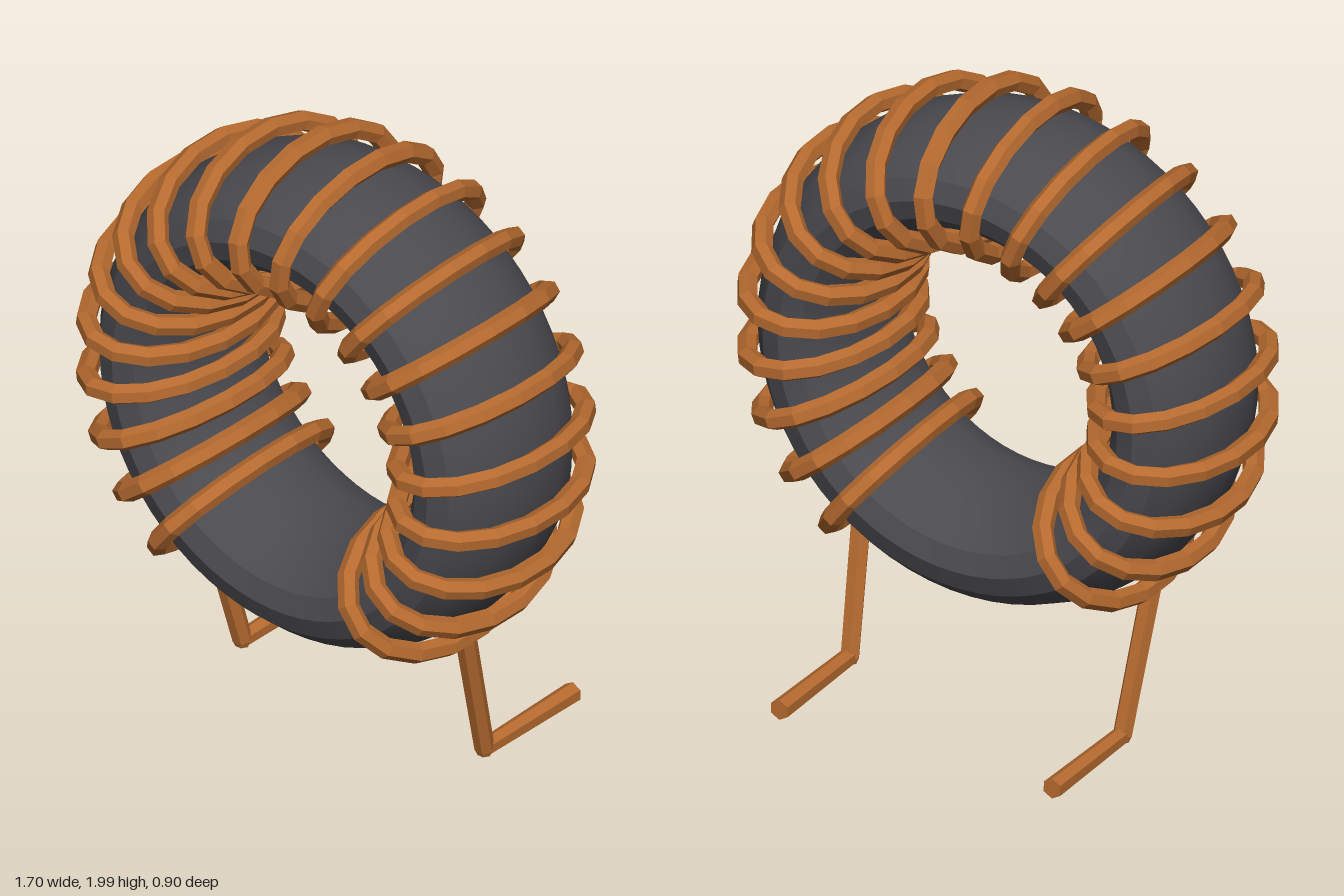
import * as THREE from 'three';
import { toCreasedNormals } from 'three/addons/utils/BufferGeometryUtils.js';

const CENTER_Y = 1.145, CENTER_Z = 0.075; // centre of the ring
const RING_R = 0.615;                     // radius to the middle of the section
const WIRE_R = 0.033;

// Elliptical turn of wire around the core section, sampled evenly by angle
class TurnCurve extends THREE.Curve {
  getPoint(t, target = new THREE.Vector3()) {
    const a = (t + 1 / 32) * Math.PI * 2;
    return target.set(RING_R - 0.004 + 0.218 * Math.cos(a), 0, 0.353 * Math.sin(a));
  }
  getPointAt(u, target) { return this.getPoint(u, target); }
  getTangentAt(u, target) { return this.getTangent(u, target); }
}

// Straight six-sided piece of wire between two points
function wirePiece(from, to, r0, r1, material) {
  const dir = to.clone().sub(from);
  const mesh = new THREE.Mesh(new THREE.CylinderGeometry(r1, r0, dir.length(), 6), material);
  mesh.position.copy(from).add(to).multiplyScalar(0.5);
  mesh.quaternion.setFromUnitVectors(new THREE.Vector3(0, 1, 0), dir.normalize());
  return mesh;
}

export function createModel() {
  const model = new THREE.Group();
  model.name = 'toroidalInductor';

  const ferrite = new THREE.MeshStandardMaterial({ color: 0x4a4a4f });
  ferrite.name = 'darkFerrite';
  const copper = new THREE.MeshStandardMaterial({ color: 0xb56a2f, flatShading: true });
  copper.name = 'copper';

  const ring = new THREE.Group();
  ring.name = 'woundRing';
  ring.position.set(0, CENTER_Y, CENTER_Z);
  model.add(ring);

  // Core: elliptical section swept around the z axis
  const profile = [];
  for (let i = 0; i <= 16; i++) {
    const a = -(i / 16) * Math.PI * 2;
    profile.push(new THREE.Vector2(RING_R + 0.175 * Math.cos(a), -0.305 * Math.sin(a)));
  }
  profile.reverse();
  // keep the section running counter-clockwise so the faces point outward
  if (THREE.ShapeUtils.area(profile) < 0) profile.reverse();
  const coreGeo = new THREE.LatheGeometry(profile, 64).rotateX(Math.PI / 2);
  const core = new THREE.Mesh(toCreasedNormals(coreGeo, THREE.MathUtils.degToRad(30)), ferrite);
  core.name = 'core';
  ring.add(core);

  // Winding: twenty turns, leaving a gap at the bottom
  const turnGeo = new THREE.TubeGeometry(new TurnCurve(), 16, WIRE_R, 6, true);
  const winding = new THREE.Group();
  winding.name = 'winding';
  for (let i = 0; i < 20; i++) {
    const turn = new THREE.Mesh(turnGeo, copper);
    turn.name = 'wireTurn';
    turn.rotation.z = THREE.MathUtils.degToRad(90 - 142.5 + i * 15);
    winding.add(turn);
  }
  ring.add(winding);

  // Leads: down from the last turns, then bent backward
  for (const side of [1, -1]) {
    const lead = new THREE.Group();
    lead.name = side > 0 ? 'leftLead' : 'rightLead';
    const top = new THREE.Vector3(side * 0.502, 0.49, 0.07);
    const bend = new THREE.Vector3(side * 0.473, 0.032, -0.05);
    const end = new THREE.Vector3(side * 0.473, 0.036, -0.455);
    lead.add(wirePiece(top, bend, WIRE_R, 0.031, copper));
    lead.add(wirePiece(bend, end, 0.028, WIRE_R, copper));
    const joint = new THREE.Mesh(new THREE.SphereGeometry(0.031, 6, 4), copper);
    joint.position.copy(bend);
    lead.add(joint);
    model.add(lead);
  }
  return model;
}
